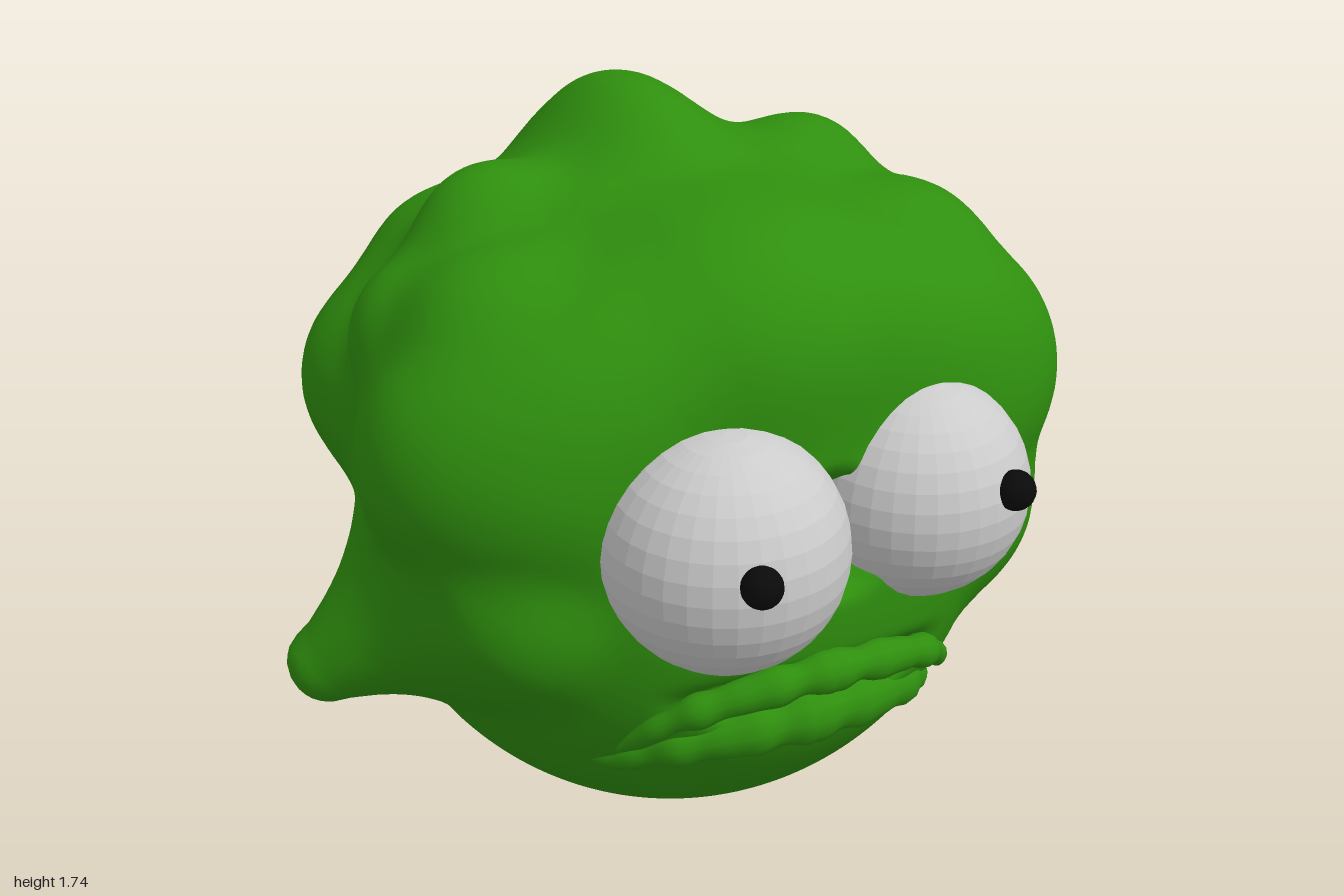
import * as THREE from 'three';
import { mergeVertices } from 'three/addons/utils/BufferGeometryUtils.js';

// Lumps that blend into the head: centre x, y, z, then radii x, y, z (x > 0 is mirrored)
const CORE = [0, 0.78, -0.04, 0.77, 0.78, 0.74];
const LUMPS = [
  [0, 1.0, -0.1, 0.7, 0.56, 0.66],       // skull
  [0, 1.3, -0.13, 0.58, 0.31, 0.56],     // crown
  [0, 0.58, -0.33, 0.6, 0.45, 0.51],     // lower back
  [0, 1.28, 0.3, 0.43, 0.32, 0.35],      // forehead
  [0.36, 1.22, 0.28, 0.3, 0.26, 0.29],   // brows
  [0.43, 1.06, 0.29, 0.29, 0.28, 0.27],  // eye surrounds
  [0.54, 1.07, 0.18, 0.34, 0.34, 0.33],  // temples
  [0.56, 0.74, 0.25, 0.2, 0.2, 0.25],    // cheeks
  [0.56, 1.25, -0.1, 0.22, 0.2, 0.22],
  [0.5, 1.35, 0.12, 0.2, 0.16, 0.18],
  [0.41, 1.45, -0.17, 0.16, 0.16, 0.15], // upper knobs
  [0, 1.38, -0.29, 0.24, 0.355, 0.38],   // crest
  [0, 1.2, -0.5, 0.22, 0.36, 0.25],
  [0.4, 1.25, -0.46, 0.2, 0.2, 0.2],
  [0.54, 1.02, -0.43, 0.25, 0.27, 0.25],
  [0.22, 1.05, -0.55, 0.24, 0.26, 0.24],
  [0, 0.86, -0.74, 0.2, 0.12, 0.14],     // rear knobs
  [0.2, 0.86, -0.79, 0.16, 0.12, 0.14],
  [0.48, 0.78, -0.67, 0.16, 0.13, 0.16],
  [0.24, 0.62, -0.72, 0.2, 0.11, 0.15],
  [0.3, 0.42, -0.59, 0.18, 0.13, 0.19],
  [0.46, 0.36, -0.36, 0.16, 0.13, 0.18],
];
// Hollows cut from the face: the mouth and the dip between the eyes
const HOLLOWS = [[0, 0.56, 0.71, 0.5, 0.075, 0.16], [0.04, 0.95, 0.72, 0.13, 0.14, 0.18]];

function ellipsoid(x, y, z, [cx, cy, cz, rx, ry, rz]) {
  const a = (x - cx) / rx, b = (y - cy) / ry, c = (z - cz) / rz;
  const k0 = Math.hypot(a, b, c), k1 = Math.hypot(a / rx, b / ry, c / rz);
  return k1 < 1e-6 ? -Math.min(rx, ry, rz) : (k0 * (k0 - 1)) / k1;
}

function smoothMin(a, b, k) {
  const h = Math.max(k - Math.abs(a - b), 0) / k;
  return Math.min(a, b) - (h * h * k) / 4;
}

// Tapered side fin, running out and down from the cheek, broad from front to back
function fin(x, y, z) {
  const a = [0.57, 0.74, 0.06], d = [0.345, -0.24, -0.125];
  const q = [x - a[0], y - a[1], z - a[2]];
  const dot = q[0] * d[0] + q[1] * d[1] + q[2] * d[2];
  const t = THREE.MathUtils.clamp(dot / (d[0] ** 2 + d[1] ** 2 + d[2] ** 2), 0, 1);
  return Math.hypot(q[0] - d[0] * t, q[1] - d[1] * t, 0.78 * (q[2] - d[2] * t)) - (0.27 - 0.185 * t);
}

function headDistance(x, y, z) {
  let d = ellipsoid(x, y, z, CORE);
  for (const lump of LUMPS) {
    d = smoothMin(d, ellipsoid(x, y, z, lump), 0.11);
    if (lump[0] > 0) d = smoothMin(d, ellipsoid(-x, y, z, lump), 0.11);
  }
  d = smoothMin(d, fin(Math.abs(x), y, z), 0.14);
  for (const hollow of HOLLOWS) d = -smoothMin(-d, ellipsoid(x, y, z, hollow), 0.04);
  return d;
}

// Sphere whose vertices are pulled in along their rays onto the lumpy surface
function headGeometry() {
  let g = new THREE.SphereGeometry(1, 220, 150);
  g.deleteAttribute('uv');
  g.deleteAttribute('normal');
  g = mergeVertices(g, 1e-5);
  const p = g.attributes.position, v = new THREE.Vector3();
  for (let i = 0; i < p.count; i++) {
    v.fromBufferAttribute(p, i).normalize();
    let t = 1.4;
    for (let s = 0; s < 70; s++) {
      const d = headDistance(v.x * t, 0.8 + v.y * t, -0.05 + v.z * t);
      if (d < 0.0008) break;
      t -= d * 0.7;
    }
    p.setXYZ(i, v.x * t, Math.max(0, 0.8 + v.y * t), -0.05 + v.z * t);
  }
  g.computeVertexNormals();
  return g;
}

// Wrinkled lip lying on the face, with ends that taper away
function lipGeometry(half, radius, wrinkle, lift) {
  const onFace = (x, y) => {
    const z = 0.95 * Math.sqrt(0.608 - x * x - (y - 0.78) ** 2) - 0.04 + lift;
    return new THREE.Vector3(x, y, z);
  };
  const pts = [...half.slice(1).reverse().map(([x, y]) => onFace(-x, y)), ...half.map(([x, y]) => onFace(x, y))];
  const curve = new THREE.CatmullRomCurve3(pts);
  const segs = 90, sides = 12;
  const g = new THREE.TubeGeometry(curve, segs, 1, sides);
  const p = g.attributes.position, v = new THREE.Vector3();
  for (let i = 0; i < p.count; i++) {
    const u = Math.floor(i / (sides + 1)) / segs;
    const c = curve.getPointAt(u), w = Math.abs(u - 0.5);
    const folds = 1 + wrinkle * (Math.cos(w * 45) + 0.6 * Math.sin(w * 71));
    const r = radius * Math.pow(Math.sin(Math.PI * u), 0.5) * folds + 0.001;
    v.fromBufferAttribute(p, i).sub(c).multiplyScalar(r).add(c);
    p.setXYZ(i, v.x, v.y, v.z);
  }
  g.computeVertexNormals();
  return g;
}

export function createModel() {
  const model = new THREE.Group();
  const green = new THREE.MeshStandardMaterial({ color: 0x2f8f0e });
  const grey = new THREE.MeshStandardMaterial({ color: 0xcccccc, flatShading: true });
  const black = new THREE.MeshStandardMaterial({ color: 0x0a0a0a });
  const add = (name, geometry, material, x = 0, y = 0, z = 0) => {
    const mesh = new THREE.Mesh(geometry, material);
    mesh.name = name;
    mesh.position.set(x, y, z);
    model.add(mesh);
  };

  add('head', headGeometry(), green);

  // Mouth
  add('upperLip', lipGeometry([[0, 0.63], [0.12, 0.62], [0.24, 0.59], [0.34, 0.54], [0.43, 0.43]], 0.045, 0.1, 0.015), green);
  add('lowerLip', lipGeometry([[0, 0.47], [0.16, 0.46], [0.3, 0.43], [0.4, 0.38], [0.46, 0.36]], 0.065, 0.07, -0.03), green);

  // Uneven bulging eyes, each with a small raised pupil
  add('rightEye', new THREE.SphereGeometry(0.275, 32, 18), grey, -0.228, 0.96, 0.63);
  add('leftEye', new THREE.SphereGeometry(0.257, 32, 18), grey, 0.306, 0.965, 0.56);
  add('rightPupil', new THREE.SphereGeometry(0.046, 20, 14), black, -0.29, 1.01, 0.905);
  add('leftPupil', new THREE.SphereGeometry(0.046, 20, 14), black, 0.41, 1.025, 0.795);
  return model;
}
